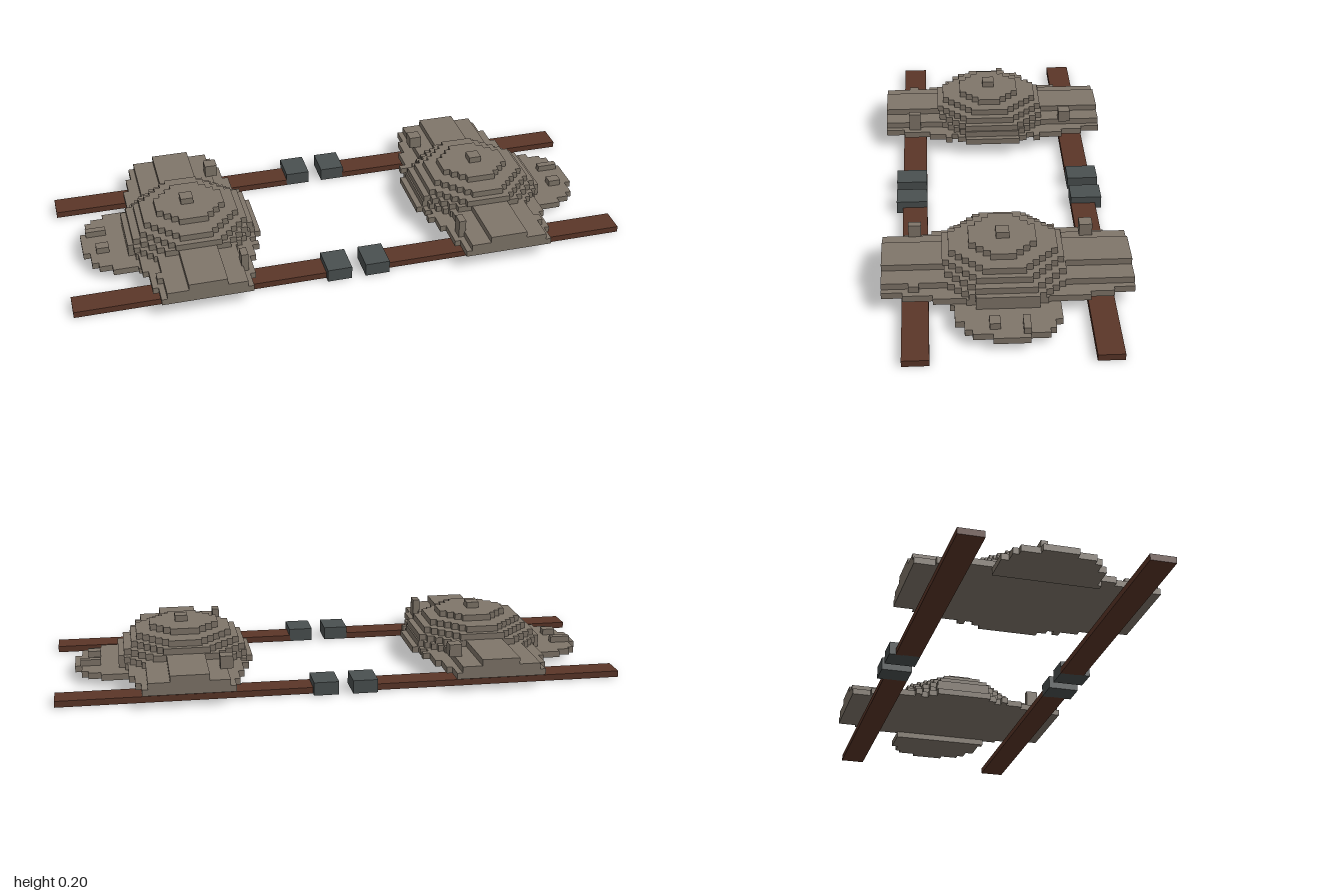
import * as THREE from 'three';

const U = 0.0225; // height of one step
const BASE = 0.0245; // underside of the lowest step

export function createModel() {
  const mat = (name, color) => {
    const m = new THREE.MeshStandardMaterial({ color });
    m.name = name;
    return m;
  };
  const stone = mat('stone', 0x80766a);
  const rust = mat('rust', 0x5b3628);
  const steel = mat('steel', 0x4a5050);

  const model = new THREE.Group();
  model.name = 'twinMounds';

  const box = (parent, name, m, s, [x0, x1], [y0, y1], [z0, z1]) => {
    const mesh = new THREE.Mesh(new THREE.BoxGeometry(x1 - x0, y1 - y0, z1 - z0), m);
    mesh.position.set(s * (x0 + x1) / 2, (y0 + y1) / 2, (z0 + z1) / 2);
    mesh.name = name;
    parent.add(mesh);
  };

  // Height range of a step, counted from the lowest
  const level = (k, n = 1) => [BASE + k * U, BASE + (k + n) * U];

  // Flat slab whose four corners are cut in n stair steps
  const slab = (parent, name, s, k, [x0, x1], [z0, z1], cx, cz, n) => {
    const cxm = (x0 + x1) / 2, czm = (z0 + z1) / 2;
    const hx = (x1 - x0) / 2, hz = (z1 - z0) / 2;
    const corner = [];
    for (let i = 0; i <= n; i++) {
      const x = hx - (cx * i) / n;
      corner.push([x, hz - cz * (1 - i / n)]);
      if (i < n) corner.push([hx - (cx * (i + 1)) / n, hz - cz * (1 - i / n)]);
    }
    const back = [...corner].reverse();
    const pts = [
      ...corner.map(([x, z]) => [x, z]),
      ...back.map(([x, z]) => [-x, z]),
      ...corner.map(([x, z]) => [-x, -z]),
      ...back.map(([x, z]) => [x, -z]),
    ];
    const shape = new THREE.Shape(pts.map(([x, z]) => new THREE.Vector2(s * (x + cxm), z + czm)));
    const geo = new THREE.ExtrudeGeometry(shape, { depth: U, bevelEnabled: false });
    geo.rotateX(Math.PI / 2);
    geo.translate(0, level(k)[1], 0);
    const mesh = new THREE.Mesh(geo, stone);
    mesh.name = name;
    parent.add(mesh);
  };

  // Dome tiers: step, x range, z range, corner cut in x and z, stairs
  const tiers = [
    [1, [0.297, 0.777], [-0.19, 0.2], 0.07, 0.09, 3],
    [2, [0.318, 0.777], [-0.19, 0.2], 0.08, 0.09, 4],
    [3, [0.323, 0.757], [-0.195, 0.21], 0.1, 0.1, 4],
    [4, [0.345, 0.73], [-0.19, 0.217], 0.11, 0.11, 5],
    [5, [0.372, 0.71], [-0.17, 0.195], 0.11, 0.11, 5],
    [6, [0.415, 0.66], [-0.1, 0.127], 0.07, 0.07, 3],
  ];

  for (const s of [-1, 1]) {
    const mound = new THREE.Group();
    mound.name = s > 0 ? 'leftMound' : 'rightMound';
    model.add(mound);

    for (const t of tiers) slab(mound, 'domeTier', s, ...t);
    box(mound, 'domeKnob', stone, s, [0.523, 0.568], level(7), [-0.01, 0.035]);

    // Arched strip running front to back over the rails
    box(mound, 'stripBase', stone, s, [0.385, 0.705], level(1), [-0.42, 0.42]);
    box(mound, 'stripMiddle', stone, s, [0.405, 0.685], level(2), [-0.42, 0.42]);
    box(mound, 'stripRidge', stone, s, [0.475, 0.61], level(3), [-0.42, 0.42]);
    box(mound, 'stripFlank', stone, s, [0.365, 0.725], level(1), [-0.35, 0.35]);
    box(mound, 'stripShoulder', stone, s, [0.343, 0.745], level(1), [-0.27, 0.25]);

    // Small lumps on the strip
    box(mound, 'backLump', stone, s, [0.385, 0.43], level(3, 2), [-0.305, -0.26]);
    box(mound, 'frontLump', stone, s, [0.385, 0.41], level(2, 3), [0.286, 0.33]);
    box(mound, 'frontLump', stone, s, [0.66, 0.705], level(2), [0.295, 0.33]);
    for (const z of [-0.17, 0.175])
      box(mound, 'innerLump', stone, s, [0.318, 0.36], level(1), [z - 0.012, z + 0.012]);

    // Low outer apron
    box(mound, 'apron', stone, s, [0.73, 0.752], level(0), [-0.17, 0.194]);
    box(mound, 'apron', stone, s, [0.745, 0.84], level(0), [-0.17, 0.18]);
    box(mound, 'apron', stone, s, [0.83, 0.885], level(0), [-0.145, 0.15]);
    box(mound, 'apron', stone, s, [0.88, 0.908], level(0), [-0.125, 0.125]);
    box(mound, 'apron', stone, s, [0.9, 0.932], level(0), [-0.06, 0.06]);
    box(mound, 'apronLump', stone, s, [0.84, 0.912], level(1), [-0.062, -0.038]);
    box(mound, 'apronLump', stone, s, [0.84, 0.885], level(1), [0.035, 0.07]);

    // Rails with a stop block at the inner end
    for (const f of [-1, 1]) {
      const span = (a, b) => (f > 0 ? [a, b] : [-b, -a]);
      box(model, 'rail', rust, s, [0.11, 1], [0, 0.0225], span(0.264, 0.353));
      box(model, 'stopBlock', steel, s, [0.025, 0.113], [0, 0.047], span(0.264, 0.376));
    }
  }
  return model;
}
